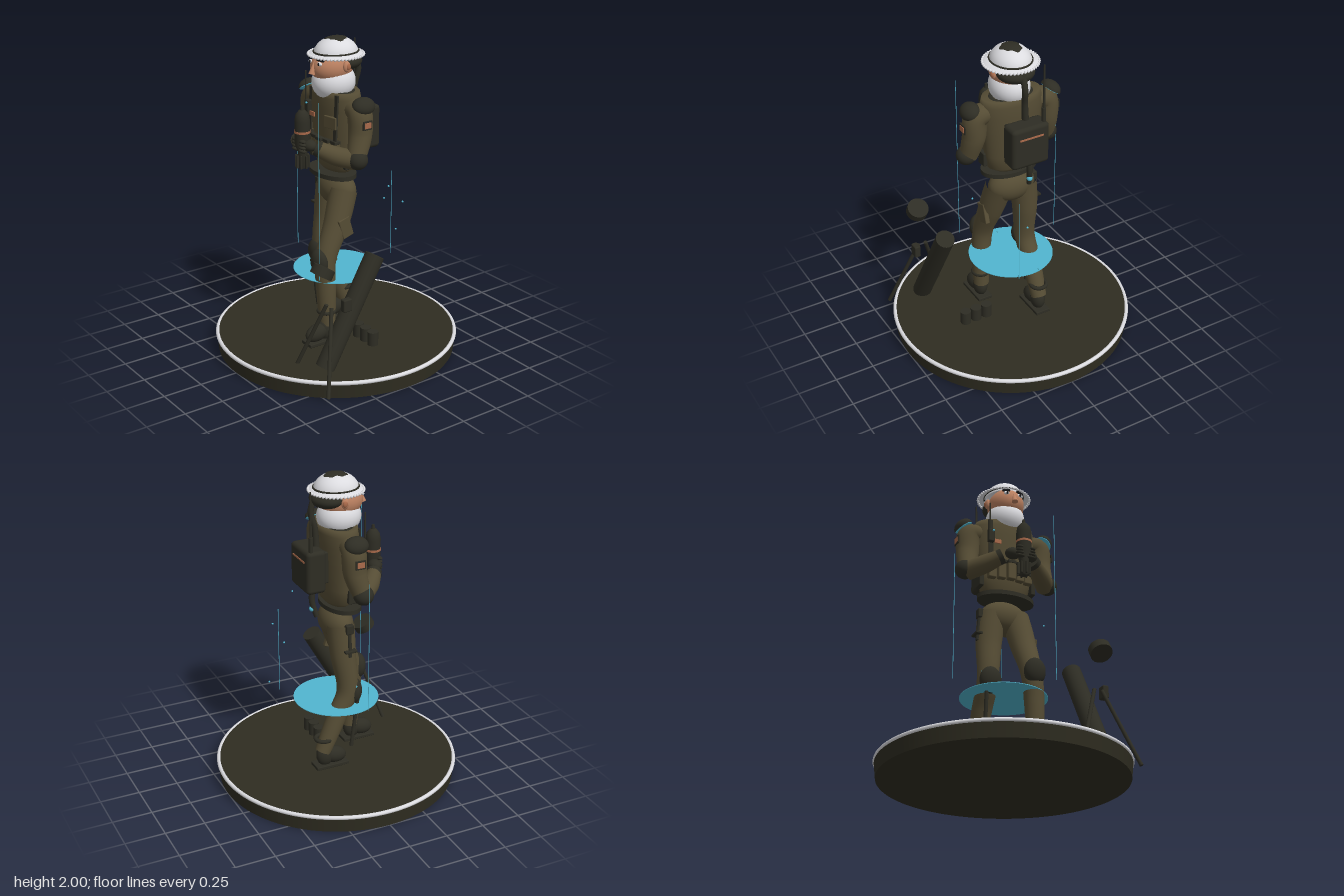
import * as THREE from 'three';
import { mergeGeometries } from 'three/addons/utils/BufferGeometryUtils.js';
import { RoundedBoxGeometry } from 'three/addons/geometries/RoundedBoxGeometry.js';

const material = (name, color, side = THREE.FrontSide) => {
  const m = new THREE.MeshStandardMaterial({ color, side });
  m.name = name;
  return m;
};
const V = (p) => new THREE.Vector3(...p);

export function createModel() {
  const olive = material('olive cloth', 0x554c34);
  const dark = material('dark gear', 0x2e2d24);
  const ground = material('base earth', 0x2f2d21);
  const white = material('white', 0xdcdce0, THREE.DoubleSide);
  const cyan = material('cyan glow', 0x52b6d0, THREE.DoubleSide);
  const skin = material('skin', 0xbd8262);
  const copper = material('copper', 0xa8694a);
  const black = material('black', 0x18181a);

  const root = new THREE.Group();
  const add = (name, geo, mat, pos = [0, 0, 0], rot = [0, 0, 0], scale = [1, 1, 1]) => {
    const mesh = new THREE.Mesh(geo, mat);
    mesh.name = name;
    mesh.position.set(...pos);
    mesh.rotation.set(...rot);
    mesh.scale.set(...scale);
    root.add(mesh);
    return mesh;
  };
  const box = (name, mat, size, pos, rot) =>
    add(name, new RoundedBoxGeometry(...size, 2, Math.min(...size) * 0.2), mat, pos, rot);
  const ball = (name, mat, pos, r, rot) =>
    add(name, new THREE.SphereGeometry(1, 28, 18), mat, pos, rot, Array.isArray(r) ? r : [r, r, r]);
  const cyl = (name, mat, r1, r2, h, pos, rot) =>
    add(name, new THREE.CylinderGeometry(r1, r2, h, 24), mat, pos, rot);
  const rod = (name, mat, a, b, r, r2 = r) => {
    const d = V(b).sub(V(a));
    const mesh = add(name, new THREE.CylinderGeometry(r2, r, d.length(), 20), mat);
    mesh.position.copy(V(a)).addScaledVector(d, 0.5);
    mesh.quaternion.setFromUnitVectors(new THREE.Vector3(0, 1, 0), d.normalize());
    return mesh;
  };
  // tube along points whose radius varies evenly through a list
  const limb = (name, mat, points, radii) => {
    const curve = new THREE.CatmullRomCurve3(points.map(V));
    const n = 32, m = 20;
    const geo = new THREE.TubeGeometry(curve, n, 1, m);
    const pos = geo.attributes.position, nor = geo.attributes.normal;
    for (let i = 0; i < pos.count; i++) {
      const t = Math.floor(i / (m + 1)) / n;
      const f = t * (radii.length - 1), k = Math.min(Math.floor(f), radii.length - 2);
      const r = THREE.MathUtils.lerp(radii[k], radii[k + 1], f - k);
      const p = curve.getPointAt(t);
      pos.setXYZ(i, p.x + nor.getX(i) * r, p.y + nor.getY(i) * r, p.z + nor.getZ(i) * r);
    }
    return add(name, geo, mat);
  };
  const lathe = (pts) => new THREE.LatheGeometry(pts.map((p) => new THREE.Vector2(...p)), 48);

  // display base
  add('base', new THREE.CylinderGeometry(0.76, 0.75, 0.09, 96), ground, [0, 0.045, 0]);
  add('baseTop', new THREE.CylinderGeometry(0.745, 0.745, 0.02, 96), ground, [0, 0.1, 0]);
  add('baseRim', new THREE.TorusGeometry(0.754, 0.013, 10, 96), white, [0, 0.1, 0], [Math.PI / 2, 0, 0]);

  // glowing disc, light beams and sparks
  add('glowDisc', new THREE.CylinderGeometry(0.268, 0.268, 0.004, 64), cyan, [0, 0.52, 0]);
  [[52, 1.69], [172, 1.41], [292, 1.13]].forEach(([deg, top]) => {
    const a = THREE.MathUtils.degToRad(deg), x = 0.355 * Math.cos(a), z = 0.355 * Math.sin(a);
    rod('lightBeam', cyan, [x, 0.575, z], [x, top, z], 0.0018);
  });
  [[0.27, 0.97, -0.31], [0.055, 0.69, -0.43], [0.345, 1.13, -0.14], [0.07, 0.93, -0.32]]
    .forEach((p) => ball('spark', cyan, p, 0.006));

  // legs: left one forward, right one back
  const legs = [
    { s: 1, hip: [0.08, 1.06, 0], mid: [0.1, 0.86, 0.07], knee: [0.112, 0.64, 0.16], shin: [0.125, 0.46, 0.165], ankle: [0.13, 0.22, 0.16] },
    { s: -1, hip: [-0.08, 1.06, -0.01], mid: [-0.1, 0.86, 0], knee: [-0.115, 0.6, 0.02], shin: [-0.12, 0.45, -0.05], ankle: [-0.122, 0.22, -0.15] },
  ];
  legs.forEach(({ hip, mid, knee, shin, ankle }) => {
    limb('leg', olive, [hip, mid, knee, shin, ankle], [0.086, 0.084, 0.077, 0.068, 0.064, 0.062, 0.057, 0.05]);
    ball('kneePad', dark, [knee[0], knee[1], knee[2] + 0.045], [0.068, 0.085, 0.05], [0.1, 0, 0]);
    add('ankleCuff', new THREE.TorusGeometry(0.05, 0.013, 8, 28), dark, [ankle[0], 0.31, ankle[2] + 0.005], [Math.PI / 2, 0, 0]);
    ball('bootHeel', dark, [ankle[0], 0.19, ankle[2] + 0.015], [0.045, 0.075, 0.058]);
    ball('bootToe', dark, [ankle[0], 0.18, ankle[2] + 0.075], [0.048, 0.055, 0.085], [0.25, 0, 0]);
    box('bootSole', dark, [0.1, 0.022, 0.22], [ankle[0], 0.121, ankle[2] + 0.05]);
  });
  ball('pelvis', olive, [0, 1.05, -0.005], [0.155, 0.11, 0.098]);
  rod('shinRod', dark, [-0.145, 0.55, 0.08], [-0.14, 0.22, 0.04], 0.012);
  ball('shinLight', cyan, [-0.16, 0.645, 0.06], 0.012);
  box('thighPouch', dark, [0.035, 0.06, 0.05], [-0.165, 1.05, 0.01]);
  rod('knife', dark, [-0.165, 1.03, 0.01], [-0.178, 0.87, 0.01], 0.013);
  box('thighStrap', dark, [0.075, 0.014, 0.08], [-0.165, 0.91, 0.01]);
  box('legPocket', olive, [0.03, 0.13, 0.08], [0.165, 0.85, 0.05], [0.3, 0, 0]);

  // torso, collar and belt
  const torso = lathe([[0.001, 1.18], [0.11, 1.18], [0.155, 1.21], [0.175, 1.3], [0.19, 1.45], [0.205, 1.58], [0.2, 1.65], [0.19, 1.69], [0.1, 1.675], [0.001, 1.67]]);
  torso.scale(1, 1, 0.58);
  add('torso', torso, olive);
  add('collar', new THREE.TorusGeometry(0.13, 0.022, 12, 40), dark, [0, 1.665, 0], [Math.PI / 2, 0, 0], [1, 0.68, 1]);
  add('belt', new THREE.CylinderGeometry(0.185, 0.185, 0.028, 48), dark, [0, 1.165, 0.025], [0, 0, 0], [1, 1, 0.64]);

  // arms with pads, mirrored
  [1, -1].forEach((s) => {
    limb('upperArm', olive, [[s * 0.16, 1.6, 0], [s * 0.232, 1.585, 0], [s * 0.25, 1.45, 0.005], [s * 0.265, 1.31, 0.045]], [0.06, 0.076, 0.074, 0.066, 0.056]);
    limb('forearm', olive, [[s * 0.265, 1.31, 0.045], [s * 0.19, 1.33, 0.13], [s * 0.1, 1.37, 0.21]], [0.06, 0.058, 0.045]);
    ball('elbowPad', dark, [s * 0.282, 1.315, 0.045], [0.062, 0.06, 0.062]);
    add('cuff', new THREE.CylinderGeometry(0.048, 0.048, 0.03, 24), dark, [s * 0.11, 1.365, 0.2], [0.9, 0, s * 0.9]);
    ball('glove', dark, [s * 0.055 + 0.01, 1.385, 0.24], [0.05, 0.036, 0.042]);
    for (let i = 0; i < 4; i++)
      ball('finger', dark, [s * 0.035 + 0.02, 1.355 + i * 0.02, 0.285], [0.03, 0.011, 0.018]);
    const pad = new THREE.SphereGeometry(1, 28, 12, 0, Math.PI * 2, 0, Math.PI / 2);
    add('shoulderPad', pad, dark, [s * 0.275, 1.635, 0], [0, 0, -s * 0.6], [0.06, 0.05, 0.075]);
    add('padLining', new THREE.CylinderGeometry(1, 1, 0.1, 28), cyan, [s * 0.275, 1.634, 0], [0, 0, -s * 0.6], [0.055, 0.04, 0.07]);
    box('armPatchFrame', dark, [0.008, 0.055, 0.065], [s * 0.322, 1.53, 0.005]);
    box('armPatch', copper, [0.008, 0.035, 0.045], [s * 0.326, 1.53, 0.005]);
    box('chestStrap', dark, [0.03, 0.28, 0.012], [s * 0.13, 1.54, 0.094], [-0.05, 0, 0]);
    box('sidePouch', dark, [0.03, 0.09, 0.07], [s * 0.175, 1.27, 0.03]);
  });

  // chest gear
  for (let i = 0; i < 5; i++) {
    const x = -0.12 + i * 0.06;
    box('magazinePouch', olive, [0.052, 0.13, 0.04], [x, 1.335, 0.115 - Math.abs(x) * 0.2]);
    box('pouchFlap', dark, [0.054, 0.022, 0.044], [x, 1.39, 0.116 - Math.abs(x) * 0.2]);
  }
  box('chestPocket', olive, [0.1, 0.075, 0.025], [0.095, 1.51, 0.105], [0, 0.15, 0]);
  box('chestPatch', copper, [0.045, 0.028, 0.008], [-0.088, 1.522, 0.113]);
  box('handset', dark, [0.04, 0.09, 0.035], [-0.135, 1.555, 0.11]);
  rod('handsetAerial', dark, [-0.145, 1.55, 0.12], [-0.145, 1.78, 0.12], 0.005);
  ball('handsetLight', cyan, [-0.125, 1.585, 0.13], 0.007);

  // held round with copper band and fins
  const round = lathe([[0.001, 1.24], [0.03, 1.24], [0.03, 1.34], [0.047, 1.39], [0.047, 1.53], [0.04, 1.57], [0.02, 1.595], [0.001, 1.6]]);
  add('heldRound', round, dark, [0.02, 0, 0.26]);
  cyl('roundBand', copper, 0.049, 0.049, 0.014, [0.02, 1.465, 0.26]);
  cyl('roundFuse', dark, 0.008, 0.014, 0.04, [0.02, 1.605, 0.26]);
  for (let i = 0; i < 4; i++)
    box('roundFin', dark, [0.09, 0.08, 0.008], [0.02, 1.28, 0.26], [0, (i * Math.PI) / 4, 0]);

  // back radio, aerial and hose
  box('backRadio', dark, [0.25, 0.27, 0.125], [0, 1.435, -0.183]);
  box('radioStripe', copper, [0.16, 0.012, 0.006], [0, 1.5, -0.246]);
  box('radioMount', dark, [0.2, 0.2, 0.04], [0, 1.45, -0.115]);
  rod('aerial', dark, [-0.1, 1.55, -0.212], [-0.1, 1.94, -0.212], 0.009, 0.005);
  rod('aerialBase', dark, [-0.1, 1.56, -0.212], [-0.1, 1.66, -0.212], 0.013);
  limb('headsetCable', dark, [[0, 1.87, -0.14], [0, 1.78, -0.165], [-0.01, 1.68, -0.145], [-0.02, 1.53, -0.14]], [0.02, 0.018, 0.02, 0.022]);
  limb('hose', dark, [[-0.03, 1.31, -0.17], [-0.03, 1.22, -0.175], [-0.04, 1.12, -0.15]], [0.02, 0.018, 0.016]);
  ball('hoseLight', cyan, [-0.03, 1.17, -0.175], 0.018);

  // head
  ball('face', skin, [0, 1.83, 0.03], [0.112, 0.11, 0.138]);
  ball('beardMask', white, [0, 1.73, 0.018], [0.122, 0.118, 0.138]);
  ball('hair', dark, [0, 1.85, -0.055], [0.117, 0.058, 0.11]);
  add('nose', new THREE.ConeGeometry(0.02, 0.09, 16), skin, [0, 1.84, 0.165], [-0.25, 0, 0]);
  [1, -1].forEach((s) => {
    ball('ear', skin, [s * 0.115, 1.84, 0.005], [0.016, 0.034, 0.024]);
    ball('earpiece', copper, [s * 0.126, 1.84, 0], [0.01, 0.02, 0.016]);
    ball('eye', white, [s * 0.045, 1.862, 0.15], [0.02, 0.012, 0.01]);
    ball('pupil', black, [s * 0.045, 1.862, 0.157], [0.008, 0.009, 0.006]);
    box('brow', black, [0.05, 0.012, 0.015], [s * 0.047, 1.884, 0.146], [0, s * 0.3, -s * 0.1]);
  });

  // helmet with flared brim, beaded edge and worn crown
  const dome = (t) => new THREE.SphereGeometry(1, 40, 20, 0, Math.PI * 2, 0, t);
  add('helmetDome', dome(Math.PI / 2), white, [0, 1.895, 0], [0, 0, 0], [0.124, 0.105, 0.14]);
  add('helmetBrim', lathe([[0.115, 1.912], [0.145, 1.908], [0.168, 1.896]]), white);
  add('brimUnderside', lathe([[0.165, 1.893], [0.145, 1.902], [0.11, 1.904]]), dark).material = dark;
  const beads = [];
  for (let i = 0; i < 48; i++) {
    const a = (i / 48) * Math.PI * 2;
    beads.push(new THREE.SphereGeometry(0.0085, 10, 8).translate(0.166 * Math.cos(a), 1.896, 0.166 * Math.sin(a)));
  }
  add('brimBeads', mergeGeometries(beads), white);
  add('helmetBand', new THREE.TorusGeometry(0.13, 0.006, 8, 48), dark, [0, 1.913, 0], [Math.PI / 2, 0, 0], [0.95, 1.06, 1]);
  const crown = dome(0.5), cp = crown.attributes.position;
  for (let i = 0; i < cp.count; i++) {
    const a = Math.atan2(cp.getZ(i), cp.getX(i));
    const k = 1 + 0.12 * Math.sin(3 * a + 1) + 0.07 * Math.sin(7 * a);
    const x = cp.getX(i) * k, z = cp.getZ(i) * k;
    cp.setXYZ(i, x, Math.sqrt(1 - x * x - z * z), z);
  }
  crown.computeVertexNormals();
  add('wornCrown', crown, dark, [0, 1.897, -0.005], [0, 0, 0], [0.125, 0.106, 0.141]);

  // launch tube, muzzle ring, bipod and sight
  const tilt = -Math.atan2(0.39, 0.64);
  rod('launchTube', dark, [0.445, 0.12, 0.4], [0.445, 0.76, 0.035], 0.06);
  cyl('muzzleRing', dark, 0.068, 0.068, 0.055, [0.445, 0.75, 0.415], [tilt, 0, 0]);
  [1, -1].forEach((s) =>
    rod('bipodLeg', dark, [0.445 + s * 0.025, 0.515, 0.37], [0.445 + s * 0.19, 0.03, 0.51], 0.012));
  box('sight', dark, [0.04, 0.08, 0.06], [0.522, 0.535, 0.3]);

  // spare rounds on the ground
  [0.2, 0.275, 0.35].forEach((x) => cyl('spareRound', dark, 0.034, 0.034, 0.09, [x, 0.152, -0.03]));

  return root;
}
